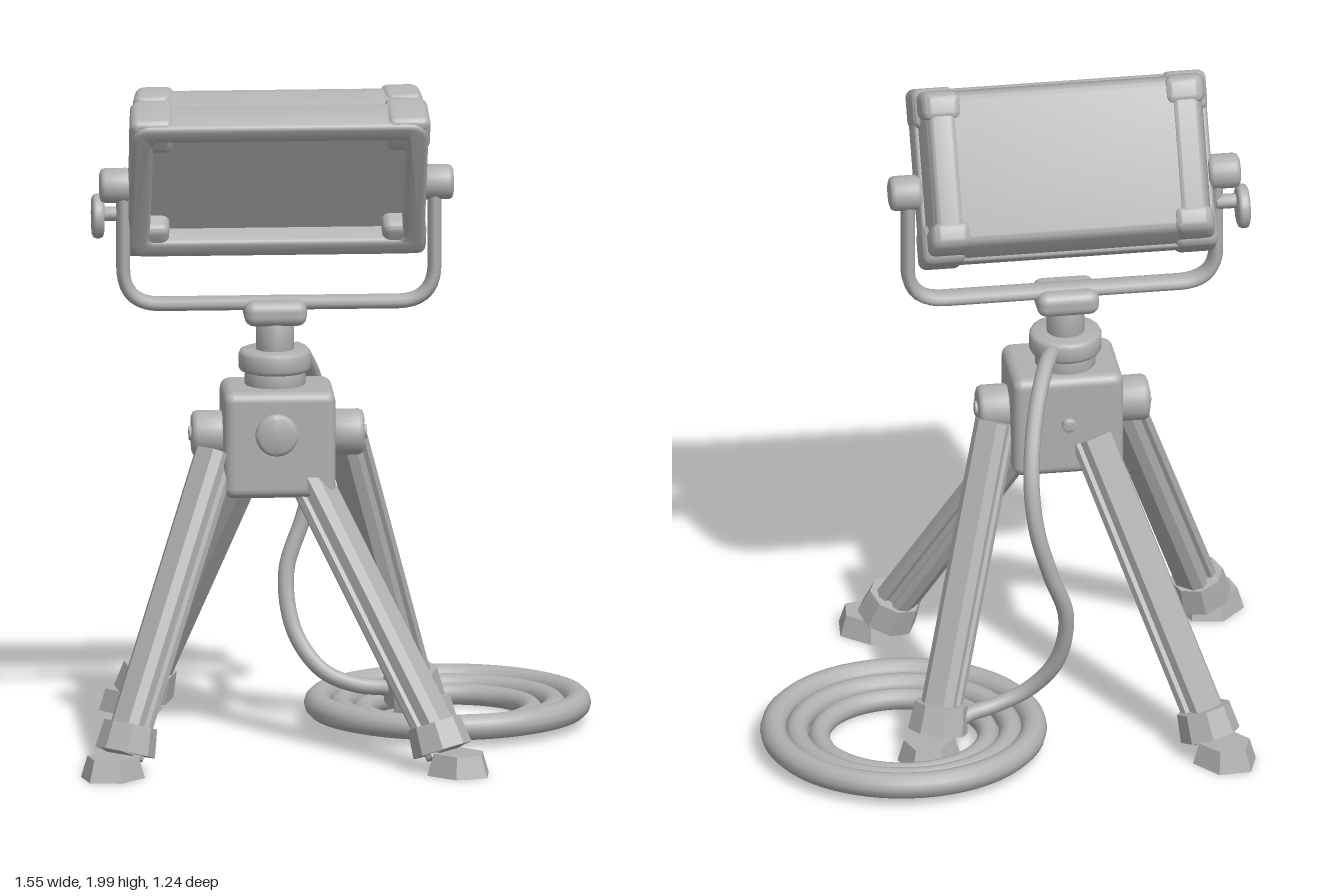
import * as THREE from 'three';
import { toCreasedNormals } from 'three/addons/utils/BufferGeometryUtils.js';
import { RoundedBoxGeometry } from 'three/addons/geometries/RoundedBoxGeometry.js';

const V = (x, y, z) => new THREE.Vector3(x, y, z);
const UP = V(0, 1, 0);

function roundedRect(path, w, h, r) {
  const x = w / 2, y = h / 2;
  path.moveTo(-x + r, -y);
  path.lineTo(x - r, -y); path.quadraticCurveTo(x, -y, x, -y + r);
  path.lineTo(x, y - r); path.quadraticCurveTo(x, y, x - r, y);
  path.lineTo(-x + r, y); path.quadraticCurveTo(-x, y, -x, y - r);
  path.lineTo(-x, -y + r); path.quadraticCurveTo(-x, -y, -x + r, -y);
  return path;
}

// Disc or post along y with softly rounded rims
function roundedDisc(r, h, b, sides = 24) {
  const y = h / 2;
  const pts = [[0, -y], [r - b, -y], [r - b * 0.3, -y + b * 0.3], [r, -y + b],
    [r, y - b], [r - b * 0.3, y - b * 0.3], [r - b, y], [0, y]];
  const g = new THREE.LatheGeometry(pts.map(p => new THREE.Vector2(...p)), sides);
  return toCreasedNormals(g, 0.9);
}

export function createModel() {
  const root = new THREE.Group();
  root.name = 'workLight';
  const grey = new THREE.MeshStandardMaterial({ color: 0xb0b0b0 });
  grey.name = 'grey';

  const add = (name, geo, x = 0, y = 0, z = 0, parent = root) => {
    const m = new THREE.Mesh(geo, grey);
    m.name = name;
    m.position.set(x, y, z);
    parent.add(m);
    return m;
  };

  // Lamp head, tilted down
  const head = new THREE.Group();
  head.name = 'lampHead';
  head.position.set(-0.172, 1.735, 0.062);
  head.rotation.x = 0.54;
  root.add(head);

  // Narrow any head part toward the back, more at the bottom than the top
  const taper = (geo, cx = 0, cy = 0, cz = 0) => {
    geo.translate(cx, cy, cz);
    const p = geo.attributes.position;
    for (let i = 0; i < p.count; i++) {
      const t = Math.max(0, Math.min(1, (0.02 - p.getZ(i)) / 0.125));
      const y = p.getY(i);
      p.setXY(i, p.getX(i) * (1 - 0.06 * t), y * (1 - (y < 0 ? 0.2 : 0.07) * t));
    }
    geo.computeVertexNormals();
    return toCreasedNormals(geo, 0.7);
  };

  add('housing', taper(new RoundedBoxGeometry(0.86, 0.51, 0.135, 3, 0.025), 0, 0, -0.032), 0, 0, 0, head);

  const rim = roundedRect(new THREE.Shape(), 0.85, 0.49, 0.04);
  rim.holes.push(roundedRect(new THREE.Path(), 0.775, 0.425, 0.03));
  const rimGeo = new THREE.ExtrudeGeometry(rim, {
    depth: 0.08, bevelEnabled: true, bevelThickness: 0.015, bevelSize: 0.014, bevelSegments: 3, curveSegments: 6,
  });
  add('frontRim', toCreasedNormals(rimGeo, 0.8), 0, 0, 0.01, head);
  add('lens', new THREE.BoxGeometry(0.78, 0.43, 0.008), 0, 0, 0.037, head);

  // Corner guards and back rails
  for (const sx of [-1, 1]) {
    for (const sy of [-1, 1]) {
      add('frontCornerGuard', taper(new RoundedBoxGeometry(0.13, 0.12, 0.13, 3, 0.025),
        sx * 0.38, sy * 0.208, 0.034), 0, 0, 0, head);
      add('backCornerGuard', taper(new RoundedBoxGeometry(0.12, 0.09, 0.085, 3, 0.025),
        sx * 0.383, sy * 0.218, -0.068), 0, 0, 0, head);
    }
    add('backRail', taper(new RoundedBoxGeometry(0.085, 0.48, 0.07, 3, 0.02),
      sx * 0.385, 0, -0.072), 0, 0, 0, head);
  }

  // Flat yoke strap with rounded lower corners
  const yokePath = new THREE.CurvePath();
  const L = -0.625, R = 0.295, B = 1.332, c = 0.11;
  yokePath.add(new THREE.LineCurve3(V(L, 1.7, 0), V(L, B + c, 0)));
  yokePath.add(new THREE.QuadraticBezierCurve3(V(L, B + c, 0), V(L, B, 0), V(L + c, B, 0)));
  yokePath.add(new THREE.LineCurve3(V(L + c, B, 0), V(R - c, B, 0)));
  yokePath.add(new THREE.QuadraticBezierCurve3(V(R - c, B, 0), V(R, B, 0), V(R, B + c, 0)));
  yokePath.add(new THREE.LineCurve3(V(R, B + c, 0), V(R, 1.7, 0)));
  const yoke = add('yoke', new THREE.TubeGeometry(yokePath, 80, 0.021, 10), 0, 0, 0.062);
  yoke.scale.z = 1.8;

  // Pivot knobs and the clamp handle
  for (const x of [-0.647, 0.303]) {
    add('pivotKnob', roundedDisc(0.052, 0.095, 0.015), x, 1.69, 0.062).rotation.z = Math.PI / 2;
  }
  add('handleStem', roundedDisc(0.022, 0.08, 0.005, 12), -0.66, 1.6, 0.04).rotation.z = Math.PI / 2;
  add('clampHandle', roundedDisc(0.066, 0.035, 0.012), -0.698, 1.59, 0.022).rotation.z = Math.PI / 2;

  // Swivel, post and collar
  const cx = -0.177, cz = 0.07;
  add('swivel', new RoundedBoxGeometry(0.185, 0.075, 0.15, 3, 0.03), cx, 1.308, 0.065);
  add('post', roundedDisc(0.056, 0.16, 0.005), cx, 1.23, cz);
  add('collar', roundedDisc(0.108, 0.066, 0.014, 20), cx, 1.162, cz);
  add('neck', roundedDisc(0.09, 0.07, 0.008, 20), cx, 1.11, cz);

  // Hub with its buttons and side knobs
  add('hub', new RoundedBoxGeometry(0.33, 0.32, 0.268, 4, 0.03), -0.17, 0.93, 0.085);
  add('frontButton', roundedDisc(0.063, 0.05, 0.012), -0.18, 0.965, 0.217).rotation.x = Math.PI / 2;
  add('backButton', roundedDisc(0.022, 0.03, 0.006, 14), -0.17, 0.94, -0.05).rotation.x = Math.PI / 2;
  for (const s of [-1, 1]) {
    add('sideKnob', roundedDisc(0.068, 0.1, 0.016), -0.17 + s * 0.205, 0.945, 0.085).rotation.z = Math.PI / 2;
    add('knobScrew', roundedDisc(0.022, 0.012, 0.004, 12), -0.17 + s * 0.257, 0.945, 0.085).rotation.z = Math.PI / 2;
  }

  // Legs: octagonal bars with a groove down each side, sleeves and angular pads
  const legShape = new THREE.Shape([
    [-0.03, -0.056], [0.03, -0.056], [0.052, -0.035], [0.052, -0.014], [0.04, -0.008], [0.04, 0.008],
    [0.052, 0.014], [0.052, 0.035], [0.03, 0.056], [-0.03, 0.056], [-0.052, 0.035], [-0.052, 0.014],
    [-0.04, 0.008], [-0.04, -0.008], [-0.052, -0.014], [-0.052, -0.035],
  ].map(p => new THREE.Vector2(...p)));
  const legs = [
    ['frontRightLeg', V(-0.355, 0.9, 0.16), V(-0.65, 0.06, 0.48)],
    ['frontLeftLeg', V(-0.09, 0.84, 0.15), V(0.305, 0.06, 0.49)],
    ['backRightLeg', V(-0.24, 0.88, -0.03), V(-0.545, 0.06, -0.42)],
    ['backLeftLeg', V(0.035, 0.92, 0.04), V(0.26, 0.06, -0.275)],
  ];
  for (const [name, top, foot] of legs) {
    const leg = new THREE.Group();
    leg.name = name;
    root.add(leg);
    const dir = top.clone().sub(foot);
    const out = V(-dir.x, 0, -dir.z).normalize();
    const yaw = Math.atan2(out.x, out.z);

    const bar = new THREE.ExtrudeGeometry(legShape, { depth: dir.length(), bevelEnabled: false });
    const barMesh = add('legBar', toCreasedNormals(bar, 0.6), foot.x, foot.y, foot.z, leg);
    barMesh.lookAt(top);

    const s = foot.clone().addScaledVector(dir, 0.055);
    const sleeve = add('footSleeve', toCreasedNormals(new THREE.CylinderGeometry(0.08, 0.09, 0.085, 8), 0.5), s.x, s.y, s.z, leg);
    const lean = dir.clone().normalize().lerp(UP, 0.35).normalize();
    sleeve.quaternion.setFromUnitVectors(UP, lean);

    const pad = add('footPad', toCreasedNormals(new THREE.CylinderGeometry(0.072, 0.09, 0.065, 6), 0.5),
      foot.x + out.x * 0.045, 0.0325, foot.z + out.z * 0.045, leg);
    pad.rotation.y = yaw;
    pad.scale.z = 1.2;
  }

  // Hanging cable and the coil lying on the ground
  const cable = new THREE.CatmullRomCurve3([
    V(-0.13, 1.165, 0), V(-0.1, 1.16, -0.07), V(-0.05, 1.06, -0.19), V(-0.02, 0.9, -0.3),
    V(-0.03, 0.75, -0.338), V(-0.07, 0.6, -0.338), V(-0.122, 0.44, -0.31), V(-0.1, 0.27, -0.265),
    V(-0.02, 0.16, -0.225), V(0.08, 0.115, -0.225), V(0.17, 0.1, -0.25), V(0.22, 0.08, -0.29),
  ]);
  add('cable', new THREE.TubeGeometry(cable, 90, 0.024, 10));
  const coil = new THREE.Group();
  coil.name = 'cableCoil';
  coil.position.set(0.35, 0, -0.225);
  coil.scale.z = 0.95;
  root.add(coil);
  for (const [r, tube, y] of [[0.385, 0.039, 0.06], [0.317, 0.035, 0.048], [0.25, 0.032, 0.034]]) {
    add('coilTurn', new THREE.TorusGeometry(r, tube, 12, 56), 0, y, 0, coil).rotation.x = Math.PI / 2;
  }
  return root;
}
